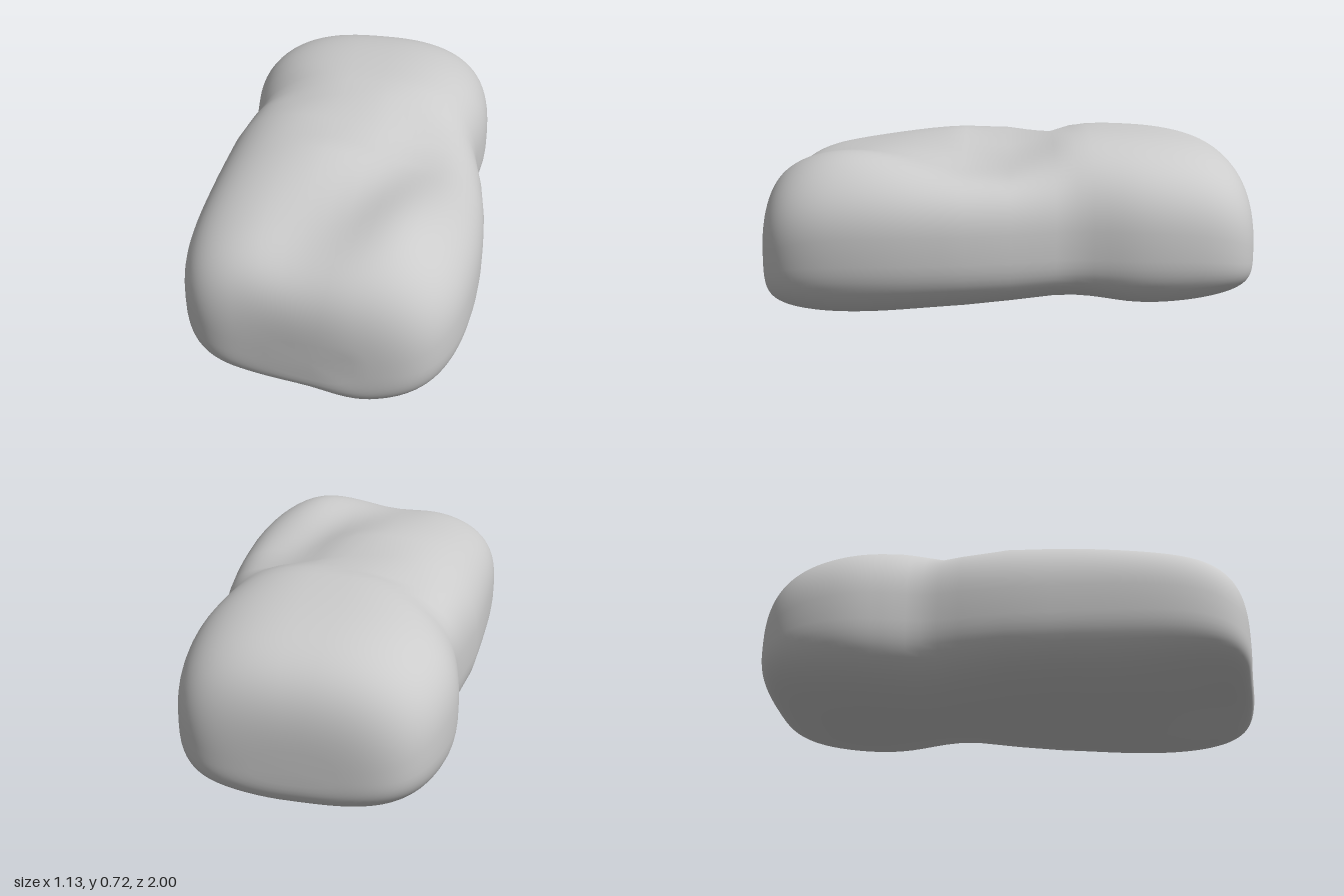
import * as THREE from 'three';

const { smoothstep, clamp, lerp } = THREE.MathUtils;
const bell = (d, width) => Math.exp(-((d / width) ** 2));
const spow = (v, e) => Math.sign(v) * Math.abs(v) ** e;
const taper = (z, n) => Math.max(0, 1 - Math.abs(z) ** n) ** (1 / n);

// Side outlines along the length: [z, x]
const curve = (pairs) => new THREE.SplineCurve(pairs.map(([z, x]) => new THREE.Vector2(z, x))).getPoints(80);
const sample = (points, z) => {
  let i = 0;
  while (i < points.length - 2 && z > points[i + 1].x) i++;
  const t = clamp((z - points[i].x) / (points[i + 1].x - points[i].x), 0, 1);
  return lerp(points[i].y, points[i + 1].y, t);
};
const rightSide = curve([[-1, 0.5], [-0.75, 0.5], [-0.5, 0.5], [-0.25, 0.475], [-0.1, 0.5], [0.1, 0.54], [0.4, 0.562], [0.7, 0.56], [1, 0.55]]);
const leftSide = curve([[-1, -0.57], [-0.65, -0.58], [-0.45, -0.55], [-0.32, -0.52], [-0.18, -0.535], [0, -0.56], [0.6, -0.57], [1, -0.57]]);

// Change of the top surface: curved cross groove, diagonal valley, front bumps
function topOffset(x, z) {
  const cross = -0.05 * bell(z + 0.04 + 0.7 * (x - 0.15) ** 2, 0.13);
  const valley = -0.055 * bell(x - 0.25 + 0.31 * z, 0.19) * smoothstep(z, -0.15, 0.2);
  const rightDip = -0.065 * bell(z - 0.13, 0.32) * smoothstep(x, 0, 0.4) * smoothstep(z, -0.3, 0.1);
  const frontLeft = -0.035 * smoothstep(z, 0.15, 0.7) * smoothstep(-x, -0.1, 0.2);
  const frontBump = 0.03 * bell(x - 0.3, 0.19) * bell(z - 0.72, 0.25);
  return cross + valley + rightDip + frontLeft + frontBump;
}

// Change of the underside: raised middle, side notch, shallow front left
function bottomOffset(x, z) {
  const middle = 0.04 * bell(z - 0.15, 0.38);
  const notch = 0.06 * bell(z + 0.22, 0.24) * smoothstep(x, -0.1, 0.42);
  const frontLeft = 0.075 * smoothstep(z, 0.3, 0.9) * smoothstep(-x, -0.22, 0.06);
  const backRight = 0.02 * smoothstep(-z, 0.1, 0.4) * smoothstep(x, 0, 0.25);
  return middle + notch + frontLeft + backRight;
}

function bodyPoint(z, angle) {
  const upper = Math.sin(angle) > 0;
  const roundness = 2 / (upper ? 2.6 : 2.9);
  const px = spow(Math.cos(angle), roundness);
  const py = spow(Math.sin(angle), roundness);
  const right = sample(rightSide, z), left = sample(leftSide, z);
  const x = lerp(left, right, 0.5 + 0.5 * px * taper(z, 5));
  // upper half is rounder towards the ends, lower front is fuller
  const bottomPower = lerp(4, 6, smoothstep(z, -0.2, 0.2));
  const v = py * taper(z, upper ? 3.6 : bottomPower);
  const centre = 0.345 - 0.1 * Math.abs(z) ** 6;
  const crown = lerp(0.735, 0.72, smoothstep(z, -0.3, 0.1));
  const y = centre + v * (upper ? crown - centre : centre) + v * v * (upper ? topOffset(x, z) : bottomOffset(x, z));
  // the front end slants back towards one side
  const slant = z > 0 ? 0.04 * z ** 4 * smoothstep(-x, -0.15, 0.3) : 0;
  return [x, y, z - slant];
}

// Closed skin from rings of points between two poles
function bodyGeometry(rings = 72, sides = 80) {
  const positions = [], index = [];
  positions.push(...bodyPoint(-1, 0));
  for (let r = 1; r < rings; r++) {
    const z = -spow(Math.cos((Math.PI * r) / rings), 0.55);
    for (let s = 0; s < sides; s++) positions.push(...bodyPoint(z, (2 * Math.PI * s) / sides));
  }
  positions.push(...bodyPoint(1, 0));
  const last = positions.length / 3 - 1;
  const id = (r, s) => 1 + (r - 1) * sides + (s % sides);
  for (let s = 0; s < sides; s++) {
    index.push(0, id(1, s + 1), id(1, s));
    index.push(last, id(rings - 1, s), id(rings - 1, s + 1));
    for (let r = 1; r < rings - 1; r++) {
      const a = id(r, s), b = id(r, s + 1), c = id(r + 1, s + 1), d = id(r + 1, s);
      index.push(a, b, c, a, c, d);
    }
  }
  const geometry = new THREE.BufferGeometry();
  geometry.setAttribute('position', new THREE.Float32BufferAttribute(positions, 3));
  geometry.setIndex(index);
  geometry.computeVertexNormals();
  return geometry;
}

export function createModel() {
  const group = new THREE.Group();
  group.name = 'softBlock';
  const body = new THREE.Mesh(bodyGeometry(), new THREE.MeshStandardMaterial({ color: 0xcccccc }));
  body.name = 'body';
  group.add(body);
  return group;
}
